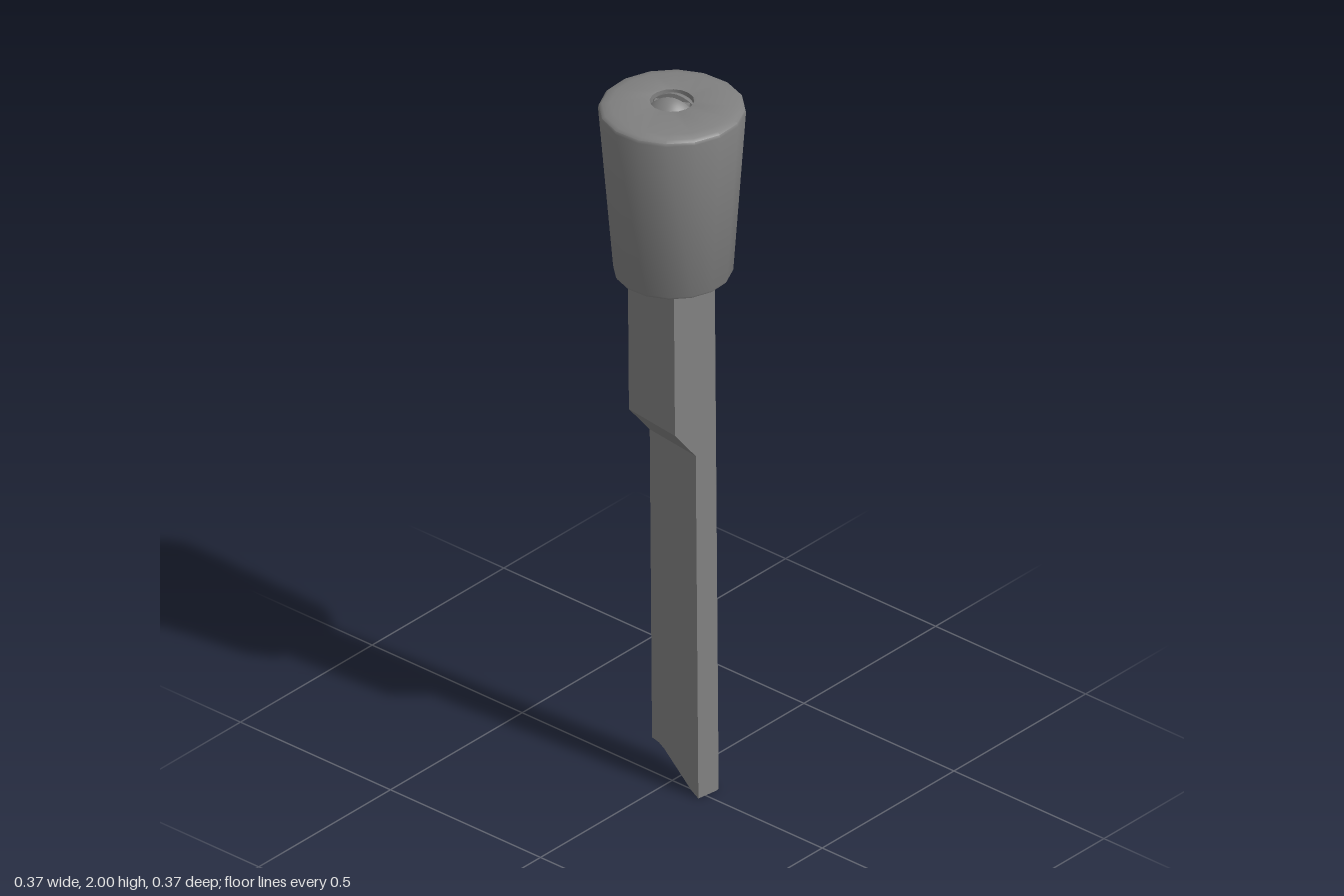
import * as THREE from 'three';
import { toCreasedNormals } from 'three/addons/utils/BufferGeometryUtils.js';

const material = new THREE.MeshStandardMaterial({ color: 0x808080 });

function addPart(parent, name, geometry) {
  const mesh = new THREE.Mesh(geometry, material);
  mesh.name = name;
  parent.add(mesh);
  return mesh;
}

// Apply a rule to every vertex
function warp(geometry, rule) {
  const pos = geometry.attributes.position;
  const v = new THREE.Vector3();
  for (let i = 0; i < pos.count; i++) {
    rule(v.fromBufferAttribute(pos, i));
    pos.setXYZ(i, v.x, v.y, v.z);
  }
  geometry.computeVertexNormals();
  return geometry;
}

const LEFT = 0.091, RIGHT = -0.086, FRONT = 0.076, STEP = 0.008, BACK = -0.066, TOP = 1.51;

// Tapered knob with soft rim and a recess for the screw
function knobGeometry() {
  const profile = [
    [0, 1.494], [0.148, 1.494], [0.151, 1.5], [0.186, 1.958], [0.184, 1.966], [0.176, 1.972],
    [0.155, 1.976], [0.062, 1.987], [0.056, 1.985], [0.056, 1.96], [0, 1.96],
  ].map(([r, y]) => new THREE.Vector2(r, y));
  return toCreasedNormals(new THREE.LatheGeometry(profile, 16), 0.7);
}

// Blade: rounded back corners, lower end cut along a sloping profile
function bladeGeometry() {
  const cut = [[RIGHT, 0.1], [-0.06, 0.097], [-0.04, 0.088], [0.064, 0.012], [LEFT, 0]];
  const inner = cut.slice(1, -1).map(([u]) => u);
  const r = 0.014;
  const shape = new THREE.Shape();
  shape.moveTo(RIGHT, -STEP);
  inner.forEach((u) => shape.lineTo(u, -STEP));
  shape.lineTo(LEFT, -STEP);
  shape.lineTo(LEFT, -BACK - r);
  shape.quadraticCurveTo(LEFT, -BACK, LEFT - r, -BACK);
  [...inner].reverse().forEach((u) => shape.lineTo(u, -BACK));
  shape.lineTo(RIGHT + r, -BACK);
  shape.quadraticCurveTo(RIGHT, -BACK, RIGHT, -BACK - r);
  shape.closePath();
  const geometry = new THREE.ExtrudeGeometry(shape, { depth: TOP, bevelEnabled: false, curveSegments: 3 });
  geometry.rotateX(-Math.PI / 2);
  warp(geometry, (v) => {
    if (v.y > 0.01) return;
    let i = 0;
    while (i < cut.length - 2 && v.x > cut[i + 1][0]) i++;
    const [u0, y0] = cut[i], [u1, y1] = cut[i + 1];
    v.y = THREE.MathUtils.mapLinear(v.x, u0, u1, y0, y1);
  });
  return toCreasedNormals(geometry, 0.7);
}

// Thicker upper shank, its lower face sloping back to the blade
function shankGeometry() {
  const geometry = new THREE.BoxGeometry(LEFT - RIGHT, TOP - 0.995, FRONT - STEP);
  geometry.translate((LEFT + RIGHT) / 2, (TOP + 0.995) / 2, (FRONT + STEP) / 2);
  return warp(geometry, (v) => {
    if (v.y < 1.1 && v.z > 0.05) v.y = 1.08;
  });
}

// One half of the domed screw head, flat along the slot
function screwHalfGeometry() {
  const R = 0.053, slot = 0.009;
  return warp(new THREE.BoxGeometry(2, 1, 1, 20, 1, 6), (v) => {
    const x = v.x * Math.sqrt(R * R - slot * slot);
    const z = slot + (v.z + 0.5) * (Math.sqrt(R * R - x * x) - slot);
    const y = v.y > 0 ? 2 - 0.026 * (x * x + z * z) / (R * R) : 1.955;
    v.set(x, y, z);
  });
}

export function createModel() {
  const model = new THREE.Group();
  model.name = 'pluggedBlade';

  // Everything is slightly turned and leans about the top of the knob
  const tilt = new THREE.Group();
  tilt.name = 'tool';
  tilt.position.set(-0.001, 2, 0);
  tilt.rotation.set(0, -0.14, 0.01);
  model.add(tilt);
  const body = new THREE.Group();
  body.name = 'body';
  body.position.y = -2;
  tilt.add(body);

  addPart(body, 'knob', knobGeometry());
  addPart(body, 'blade', bladeGeometry());
  addPart(body, 'shank', shankGeometry());

  // Slotted screw
  const screw = new THREE.Group();
  screw.name = 'screw';
  screw.rotation.y = 0.58;
  body.add(screw);
  for (const turn of [0, Math.PI]) {
    addPart(screw, 'screwHalf', screwHalfGeometry()).rotation.y = turn;
  }
  const floor = new THREE.CylinderGeometry(0.046, 0.046, 0.03, 24);
  addPart(screw, 'slotFloor', floor).position.y = 1.965;

  return model;
}
